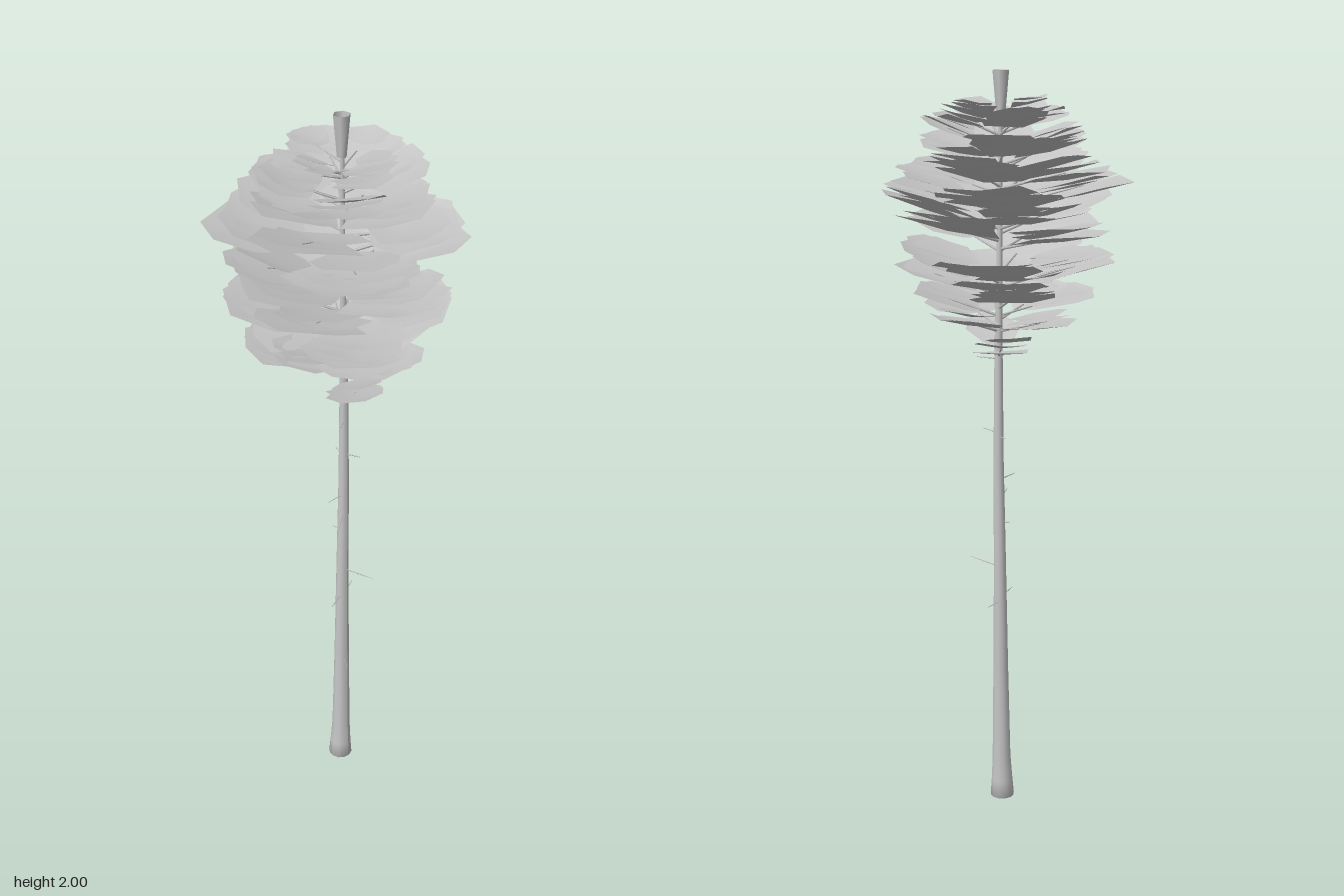
import * as THREE from 'three';
import { mergeGeometries } from 'three/addons/utils/BufferGeometryUtils.js';

export function createModel() {
  const group = new THREE.Group();
  const grey = new THREE.MeshStandardMaterial({ color: 0xc6c6c6, side: THREE.DoubleSide });
  grey.name = 'plain grey';

  // Small seeded random generator
  let seed = 29;
  const rand = (a = 0, b = 1) => {
    seed = (seed * 16807) % 2147483647;
    return a + (b - a) * (seed / 2147483647);
  };
  const add = (name, geometry) => {
    const mesh = new THREE.Mesh(geometry, grey);
    mesh.name = name;
    group.add(mesh);
  };

  // Trunk: a gently bent taper with a flared foot; stations are [y, radius, x offset]
  const stations = [
    [0, 0.034, -0.003], [0.05, 0.03, -0.002], [0.12, 0.026, 0], [0.4, 0.021, 0.003],
    [0.7, 0.017, 0.006], [1, 0.014, 0.011], [1.3, 0.011, 0.011], [1.6, 0.007, 0.007], [1.93, 0.005, 0.004],
  ];
  const trunkX = (y) => {
    let i = 1;
    while (i < stations.length - 1 && stations[i][0] < y) i++;
    const [y0, , x0] = stations[i - 1], [y1, , x1] = stations[i];
    return x0 + (x1 - x0) * (y - y0) / (y1 - y0);
  };
  const trunk = new THREE.LatheGeometry(
    [[0, 0], ...stations.map(([y, r]) => [r, y])].map(([r, y]) => new THREE.Vector2(r, y)), 12);
  const tp = trunk.attributes.position;
  for (let i = 0; i < tp.count; i++) tp.setX(i, tp.getX(i) + trunkX(tp.getY(i)));
  trunk.computeVertexNormals();
  add('trunk', trunk);

  // Tapered rod between two points
  const up = new THREE.Vector3(0, 1, 0);
  const rod = (a, b, r0, r1) => {
    const d = b.clone().sub(a);
    const g = new THREE.CylinderGeometry(r1, r0, d.length(), 4, 1, true);
    g.applyQuaternion(new THREE.Quaternion().setFromUnitVectors(up, d.normalize()));
    const mid = a.clone().add(b).multiplyScalar(0.5);
    return g.translate(mid.x, mid.y, mid.z);
  };

  // Dead twigs on the bare trunk: [y, tip x, tip z]
  const twigs = [
    [0.38, -0.03, 0.05], [0.61, -0.06, 0.02], [0.6, 0.07, -0.02], [0.7, 0.02, 0.1],
    [0.83, 0.0, -0.03], [0.89, -0.07, 0.05], [0.95, -0.05, 0], [1.07, 0.025, -0.04],
    [1.08, 0.02, 0.05], [1.18, -0.025, 0.02], [1.28, -0.05, 0.03], [1.28, 0.05, 0.04],
  ].map(([y, x, z]) => rod(new THREE.Vector3(trunkX(y), y, 0),
    new THREE.Vector3(x, y + 0.005, z), 0.0025, 0.001));
  add('deadTwigs', mergeGeometries(twigs));

  // One foliage sheet: a jagged fan rising outward, its side edges curled up
  const sheet = (y, angle, inner, outer, halfWidth, slope) => {
    const n = 7, mid = (inner + outer) / 2, half = (outer - inner) / 2;
    const ca = Math.cos(angle), sa = Math.sin(angle);
    const points = [], index = [];
    const put = (r, w, h) => points.push(r * ca - w * sa, y + h + slope * (r - inner), r * sa + w * ca);
    put(mid, 0, -0.04 * half);
    for (let i = 0; i < n; i++) {
      const t = ((i + rand(-0.3, 0.3)) / n) * Math.PI * 2;
      const k = rand(0.92, 1.15);
      const w = halfWidth * Math.sin(t) * k;
      put(mid + half * Math.cos(t) * k, w, 0.1 * Math.abs(w) + rand(-0.005, 0.005));
      index.push(0, 1 + ((i + 1) % n), 1 + i);
    }
    const g = new THREE.BufferGeometry();
    g.setAttribute('position', new THREE.Float32BufferAttribute(points, 3));
    g.setIndex(index);
    g.computeVertexNormals();
    return g;
  };

  // Whorls of the crown: [y of pad's inner edge, reach, number of pads, turn in degrees]
  const whorls = [
    [1.325, 0.17, 2, 135], [1.395, 0.22, 4, 0], [1.425, 0.245, 4, 30], [1.49, 0.285, 4, 45],
    [1.525, 0.27, 4, 65], [1.605, 0.295, 4, 0], [1.64, 0.3, 4, 25], [1.69, 0.31, 4, 45],
    [1.74, 0.28, 4, 70], [1.785, 0.25, 4, 0], [1.825, 0.22, 4, 45], [1.865, 0.18, 4, 20],
    [1.9, 0.145, 4, 0],
  ];
  const pads = [], branches = [];
  whorls.forEach(([y, reach, count, turn]) => {
    for (let i = 0; i < count; i++) {
      const angle = turn * Math.PI / 180 + ((i + rand(-0.08, 0.08)) / count) * Math.PI * 2;
      const R = reach * rand(0.92, 1.03);
      const inner = Math.max(0.045, R * 0.25);
      const slope = rand(0.18, 0.36);
      const py = y + rand(-0.018, 0.018);
      const base = new THREE.Vector3(trunkX(y), py - 0.03, 0);
      const r = R * 0.65;
      const tip = new THREE.Vector3(Math.cos(angle) * r, py + slope * (r - inner) - 0.006, Math.sin(angle) * r);
      branches.push(rod(base, tip, 0.004, 0.0015));
      // Three overlapping sheets make a pad
      for (let k = 0; k < 3; k++) {
        pads.push(sheet(py + (k - 1) * 0.014, angle + (k - 1) * rand(-0.2, 0.2),
          inner + k * 0.004, R * (1 - 0.06 * k), R * (0.46 - 0.04 * k), slope + rand(-0.06, 0.06)));
      }
    }
  });
  add('branches', mergeGeometries(branches));
  add('foliagePads', mergeGeometries(pads));

  // Upright leading shoot, opening at the top
  add('topShoot', new THREE.CylinderGeometry(0.021, 0.012, 0.1, 6, 1, true)
    .toNonIndexed().translate(0.003, 1.95, 0));
  return group;
}
